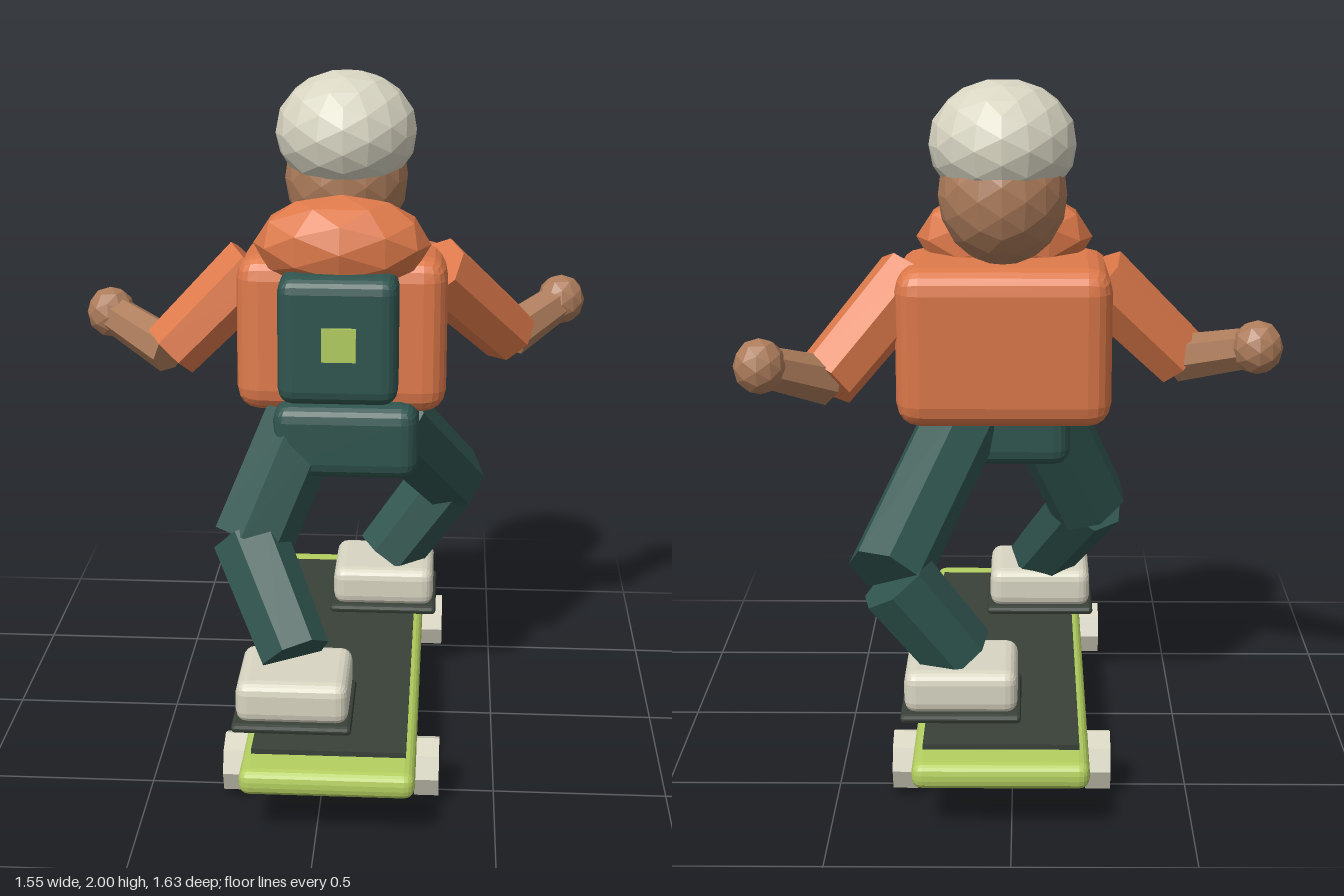
import * as THREE from 'three';
import { RoundedBoxGeometry } from 'three/addons/geometries/RoundedBoxGeometry.js';

const V = (a) => new THREE.Vector3(...a);

export function createModel() {
  const model = new THREE.Group();
  model.name = 'skateboarder';

  const paint = (name, color) => {
    const m = new THREE.MeshStandardMaterial({ color, flatShading: true });
    m.name = name;
    return m;
  };
  const orange = paint('orange cloth', 0xdd794a);
  const teal = paint('dark teal cloth', 0x30554f);
  const cream = paint('cream', 0xd8d5c2);
  const skin = paint('skin', 0xad7c5b);
  const lime = paint('lime', 0xb4cf60);
  const dark = paint('dark rubber', 0x394139);
  const metal = paint('grey metal', 0x686c6a);

  const add = (name, geo, mat, pos, parent = model) => {
    const mesh = new THREE.Mesh(geo, mat);
    mesh.name = name;
    mesh.position.set(...pos);
    parent.add(mesh);
    return mesh;
  };
  // Bevelled box given by its lower and upper corners
  const block = (name, mat, lo, hi, r, seg = 2) => {
    const s = V(hi).sub(V(lo));
    const c = V(hi).add(V(lo)).multiplyScalar(0.5);
    return add(name, new RoundedBoxGeometry(s.x, s.y, s.z, seg, r), mat, c.toArray());
  };
  // Faceted ellipsoid
  const ball = (name, mat, pos, radii, detail) => {
    const mesh = add(name, new THREE.IcosahedronGeometry(1, detail), mat, pos);
    mesh.scale.set(...radii);
    return mesh;
  };
  // Faceted limb segment between two points
  const limb = (name, mat, from, to, r0, r1) => {
    const a = V(from), b = V(to), d = b.clone().sub(a);
    const geo = new THREE.CylinderGeometry(r1, r0, d.length(), 7);
    const mesh = add(name, geo, mat, a.add(b).multiplyScalar(0.5).toArray());
    mesh.quaternion.setFromUnitVectors(new THREE.Vector3(0, 1, 0), d.normalize());
    return mesh;
  };

  // Board
  block('deck', lime, [-0.215, 0.13, -0.82], [0.275, 0.205, 0.815], 0.03);
  add('gripTape', new THREE.BoxGeometry(0.435, 0.02, 1.41), dark, [0.03, 0.21, -0.005]);
  for (const z of [-0.52, 0.52]) {
    const axle = new THREE.CylinderGeometry(0.026, 0.026, 0.52, 8).rotateZ(Math.PI / 2);
    add('axle', axle, metal, [0.03, 0.1, z]);
    for (const x of [-0.245, 0.305]) {
      const wheel = new THREE.CylinderGeometry(0.088, 0.088, 0.07, 8).rotateZ(Math.PI / 2);
      add('wheel', wheel, cream, [x, 0.088, z]);
    }
  }

  // Shoes with soles
  for (const [side, x, z] of [['right', -0.083, 0.45], ['left', 0.147, -0.415]]) {
    block(side + 'Sole', dark, [x - 0.172, 0.22, z - 0.165], [x + 0.172, 0.248, z + 0.165], 0.012, 1);
    block(side + 'Shoe', cream, [x - 0.162, 0.24, z - 0.148], [x + 0.162, 0.365, z + 0.148], 0.035);
  }

  // Legs
  limb('rightThigh', teal, [-0.09, 0.98, 0.04], [-0.235, 0.64, 0.185], 0.125, 0.125);
  limb('rightShin', teal, [-0.24, 0.65, 0.19], [-0.085, 0.38, 0.42], 0.115, 0.105);
  limb('leftThigh', teal, [0.16, 0.97, -0.05], [0.36, 0.625, -0.455], 0.122, 0.118);
  limb('leftShin', teal, [0.335, 0.61, -0.452], [0.155, 0.37, -0.415], 0.115, 0.108);
  block('pelvis', teal, [-0.17, 0.835, -0.09], [0.26, 1.06, 0.18], 0.05);

  // Body, hood and backpack
  const torso = block('torso', orange, [-0.285, 1.01, -0.3], [0.34, 1.48, 0.1], 0.07);
  torso.rotation.x = -0.04;
  ball('hood', orange, [0.028, 1.52, 0.025], [0.262, 0.145, 0.16], 1);
  block('backpack', teal, [-0.15, 1.08, 0.05], [0.2, 1.46, 0.235], 0.045);
  add('backpackPatch', new THREE.BoxGeometry(0.1, 0.1, 0.009), lime, [0.03, 1.27, 0.2405]);

  // Head and helmet
  ball('head', skin, [0.03, 1.68, -0.187], [0.187, 0.207, 0.19], 2);
  ball('helmet', cream, [0.03, 1.82, -0.168], [0.213, 0.182, 0.222], 2);

  // Arms
  const arms = [
    ['left', [0.3, 1.42, -0.1], [0.535, 1.16, -0.31], [0.7, 1.238, -0.46]],
    ['right', [-0.24, 1.42, -0.1], [-0.495, 1.165, -0.045], [-0.705, 1.238, -0.215]],
  ];
  for (const [side, shoulder, elbow, hand] of arms) {
    limb(side + 'UpperArm', orange, shoulder, elbow, 0.105, 0.095);
    limb(side + 'Forearm', skin, elbow, hand, 0.072, 0.06);
    ball(side + 'Hand', skin, hand, [0.075, 0.08, 0.075], 1);
  }

  return model;
}
